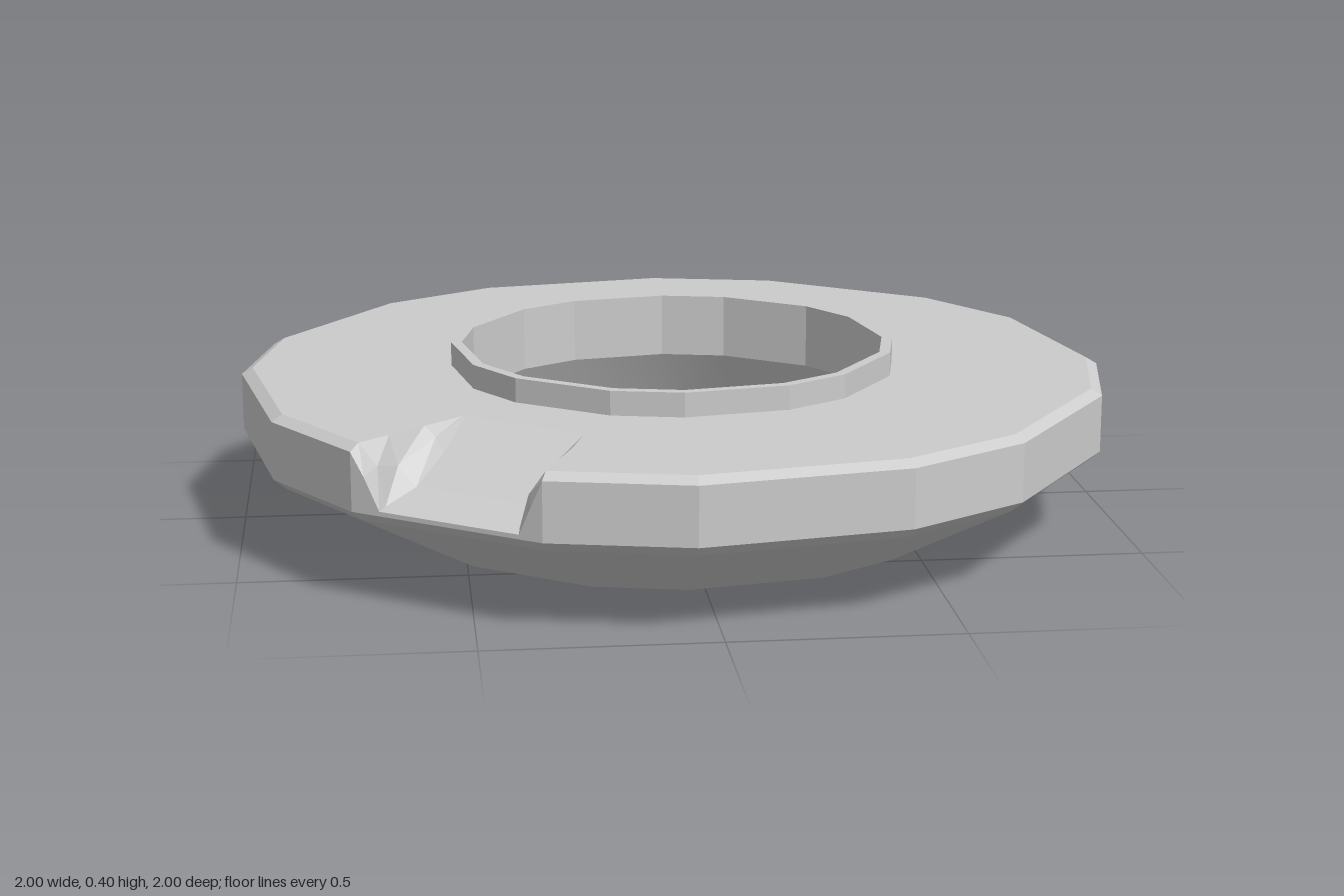
import * as THREE from 'three';

// Sixteen corners with alternating wide and narrow facets
const ANGLES = [];
for (let q = 0; q < 4; q++) {
  for (const a of [3.1, 21.3, 48.3, 66.4]) ANGLES.push(THREE.MathUtils.degToRad(a + 90 * q));
}
const N = ANGLES.length;
const NOTCH = 5; // facet that carries the chipped notch

// Point at fraction t across a facet, at corner radius r and height y
function point(facet, t, r, y) {
  const a = ANGLES[facet % N], b = ANGLES[(facet + 1) % N];
  return [
    r * THREE.MathUtils.lerp(Math.cos(a), Math.cos(b), t),
    y,
    r * THREE.MathUtils.lerp(Math.sin(a), Math.sin(b), t),
  ];
}

function addQuad(out, a, b, c, d) {
  out.push(...a, ...b, ...c, ...a, ...c, ...d);
}

function makeMesh(name, positions, index) {
  const geometry = new THREE.BufferGeometry();
  geometry.setAttribute('position', new THREE.Float32BufferAttribute(positions, 3));
  if (index) geometry.setIndex(index);
  geometry.computeVertexNormals();
  const material = new THREE.MeshStandardMaterial({ color: 0xcccccc, flatShading: !index });
  const mesh = new THREE.Mesh(geometry, material);
  mesh.name = name;
  return mesh;
}

// Faceted band swept from a [radius, height] profile, optionally skipping one facet
function band(name, profile, skip = -1) {
  const out = [];
  for (let k = 0; k < N; k++) {
    if (k === skip) continue;
    for (let j = 0; j < profile.length - 1; j++) {
      const [p, q] = [profile[j], profile[j + 1]];
      addQuad(out, point(k, 0, ...p), point(k, 0, ...q), point(k, 1, ...q), point(k, 1, ...p));
    }
  }
  return makeMesh(name, out);
}

// Smooth flared cone inside the lower half of the hole
function flare(name, profile) {
  const positions = [], index = [];
  for (let k = 0; k < N; k++) for (const [r, y] of profile) positions.push(...point(k, 0, r, y));
  for (let k = 0; k < N; k++) {
    const a = k * 2, b = ((k + 1) % N) * 2;
    index.push(a, a + 1, b + 1, a, b + 1, b);
  }
  return makeMesh(name, positions, index);
}

// Chipped notch: cross-sections from the outer edge inward, each with wall, floor, wall
function notch() {
  const rows = [
    { r: 1, t: [0, 0.06, 0.12, 0.85, 0.93, 1], y: [0.2, 0.2, 0.2, 0.2, 0.2, 0.2] },
    { r: 1, t: [0, 0.06, 0.12, 0.85, 0.93, 1], y: [0.33, 0.27, 0.21, 0.21, 0.28, 0.33] },
    { r: 0.975, t: [0, 0.09, 0.14, 0.86, 0.9, 1], y: [0.345, 0.29, 0.215, 0.215, 0.3, 0.345] },
    { r: 0.89, t: [0, 0.07, 0.17, 0.84, 0.95, 1], y: [0.345, 0.3, 0.24, 0.24, 0.28, 0.345] },
    { r: 0.79, t: [0, 0.08, 0.13, 0.87, 0.92, 1], y: [0.345, 0.32, 0.29, 0.29, 0.325, 0.345] },
    { r: 0.68, t: [0, 0.03, 0.06, 0.94, 0.97, 1], y: [0.345, 0.345, 0.345, 0.345, 0.345, 0.345] },
  ];
  const out = [];
  const at = (row, i) => point(NOTCH, row.t[i], row.r, row.y[i]);
  for (let j = 0; j < rows.length - 1; j++) {
    for (let i = 0; i < 5; i++) {
      addQuad(out, at(rows[j], i), at(rows[j + 1], i), at(rows[j + 1], i + 1), at(rows[j], i + 1));
    }
  }
  return makeMesh('chippedNotch', out);
}

export function createModel() {
  const group = new THREE.Group();
  group.name = 'ringBase';
  group.add(
    // Foot ring, sloping underside and lower bevel
    band('underside', [[0.63, 0], [0.655, 0], [0.97, 0.175], [1, 0.2]]),
    // Outer wall, upper bevel and outer part of the top, broken by the notch
    band('outerRim', [[1, 0.2], [1, 0.33], [0.975, 0.345], [0.68, 0.345]], NOTCH),
    notch(),
    // Inner part of the top with the raised collar and upright bore
    band('collar', [[0.68, 0.345], [0.515, 0.345], [0.515, 0.4], [0.49, 0.4], [0.49, 0.25]]),
    flare('flaredBore', [[0.49, 0.25], [0.63, 0]]),
  );
  return group;
}
